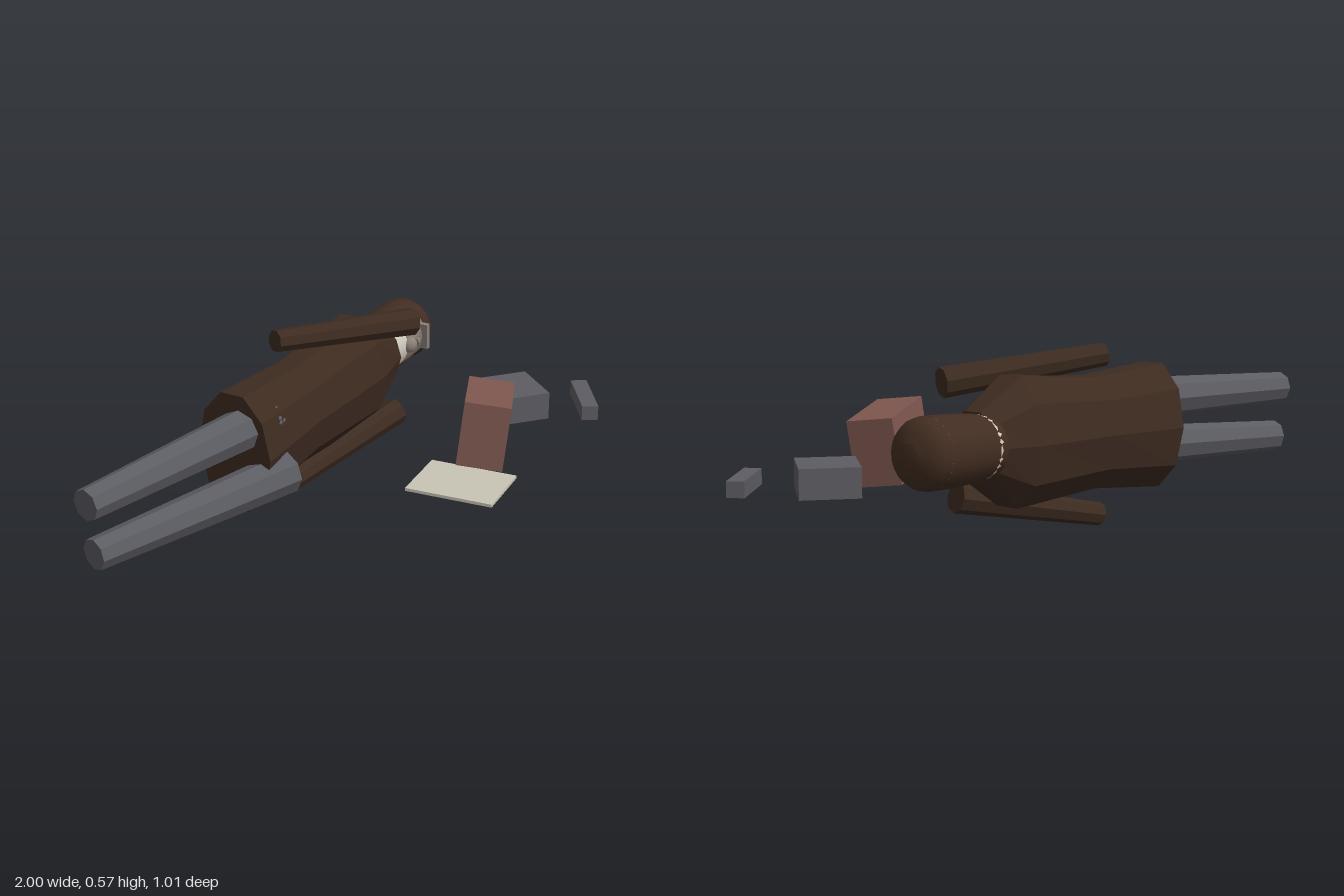
import * as THREE from 'three';

const mat = (name, color, opts = {}) => {
  const m = new THREE.MeshStandardMaterial({ color, ...opts });
  m.name = name;
  return m;
};
const V = (x, y, z) => new THREE.Vector3(x, y, z);

// Closed, flat-shaded loft along y; each row is [height, half width x, half depth z]
function loft(rows, sides) {
  const pos = [], idx = [];
  rows.forEach(([t, rx, rz]) => {
    for (let i = 0; i < sides; i++) {
      const a = ((i + 0.5) / sides) * Math.PI * 2;
      pos.push(rx * Math.cos(a), t, rz * Math.sin(a));
    }
  });
  for (let r = 0; r < rows.length - 1; r++) {
    for (let i = 0; i < sides; i++) {
      const j = (i + 1) % sides, a = r * sides + i, b = r * sides + j;
      idx.push(a, a + sides, b, b, a + sides, b + sides);
    }
  }
  const top = (rows.length - 1) * sides;
  for (let i = 1; i < sides - 1; i++) {
    idx.push(0, i, i + 1, top, top + i + 1, top + i);
  }
  const g = new THREE.BufferGeometry();
  g.setAttribute('position', new THREE.Float32BufferAttribute(pos, 3));
  g.setIndex(idx);
  const flat = g.toNonIndexed();
  flat.computeVertexNormals();
  return flat;
}

export function createModel() {
  const model = new THREE.Group();
  const coat = mat('dark brown cloth', 0x3d2b20, { flatShading: true });
  const hoodMat = mat('brown hood', 0x422d21, { side: THREE.DoubleSide });
  const grey = mat('slate grey', 0x5c5c63, { flatShading: true });
  const clay = mat('red clay', 0x7f5850);
  const paper = mat('parchment', 0xc8c3b4);
  const skin = mat('ashen skin', 0x8c8178);
  const cream = mat('cream cloth', 0xcfcabd, { side: THREE.DoubleSide });

  const add = (parent, name, geo, material, x = 0, y = 0, z = 0) => {
    const m = new THREE.Mesh(geo, material);
    m.name = name;
    m.position.set(x, y, z);
    parent.add(m);
    return m;
  };

  // Tapered eight-sided limb from a to b
  const limb = (name, a, b, ra, rb, material) => {
    const d = b.clone().sub(a);
    const m = add(model, name, new THREE.CylinderGeometry(rb, ra, d.length(), 8), material);
    m.position.copy(a).add(b).multiplyScalar(0.5);
    m.quaternion.setFromUnitVectors(V(0, 1, 0), d.normalize());
  };
  limb('rightLeg', V(-1, 0.352, -0.11), V(-0.25, 0.375, -0.135), 0.05, 0.07, grey);
  limb('leftLeg', V(-0.98, 0.185, -0.11), V(-0.238, 0.21, -0.058), 0.05, 0.069, grey);
  limb('rightArm', V(-0.08, 0.545, -0.265), V(0.455, 0.49, -0.156), 0.036, 0.047, coat);
  limb('leftArm', V(-0.085, 0.041, -0.24), V(0.445, 0.152, -0.212), 0.036, 0.047, coat);

  // Lying body: local y runs from hem to head, local z faces forward
  const body = new THREE.Group();
  body.name = 'body';
  const up = V(0.845, 0.037, -0.178).normalize();
  const side = V(0, 1, 0).cross(up).cross(up).normalize(); // model-vertical, downwards
  const front = side.clone().cross(up);
  body.quaternion.setFromRotationMatrix(new THREE.Matrix4().makeBasis(side, up, front));
  body.position.set(-0.37, 0.288, -0.155);
  model.add(body);

  add(body, 'coat', loft([
    [0, 0.209, 0.132], [0.33, 0.182, 0.116], [0.7, 0.206, 0.13], [0.865, 0.105, 0.097],
  ], 10), coat);
  for (const [x, y] of [[-0.1, 0.1], [-0.085, 0.12]]) {
    add(body, 'coatStud', new THREE.SphereGeometry(0.008, 8, 6), grey, x, y, 0.105);
  }

  // Hood with an opening for the face
  const head = new THREE.Group();
  head.name = 'head';
  head.position.set(0, 0, -0.026);
  body.add(head);
  const lathe = (pts, start = 0, length = Math.PI * 2) =>
    new THREE.LatheGeometry(pts.map(([r, y]) => new THREE.Vector2(r, y)), 24, start, length);
  const gap = 0.75;
  add(head, 'hood', lathe([[0.09, 0.835], [0.1, 0.9], [0.106, 0.99], [0.107, 1.085]],
    gap, Math.PI * 2 - gap * 2), hoodMat);
  add(head, 'hoodCrown', lathe([
    [0.098, 1.075], [0.107, 1.085], [0.103, 1.11], [0.09, 1.132], [0.065, 1.148],
    [0.037, 1.156], [0.034, 1.161], [0, 1.163],
  ]), hoodMat);

  // Face and neck cloth
  add(head, 'neckCloth', lathe([[0.088, 0.835], [0.096, 0.87], [0.098, 0.955]]), cream);
  add(head, 'face', lathe([[0, 0.94], [0.096, 0.945], [0.1, 1.0], [0.098, 1.075], [0, 1.08]]), skin);
  add(head, 'chin', new THREE.SphereGeometry(0.03, 10, 8), skin, 0, 0.972, 0.092);
  add(head, 'nose', new THREE.ConeGeometry(0.017, 0.045, 6), skin, 0, 1.018, 0.104);
  add(head, 'brow', new THREE.BoxGeometry(0.09, 0.018, 0.04), skin, 0, 1.062, 0.098);

  // Scattered goods: centre, size and turn about the vertical
  for (const [name, material, p, s, deg] of [
    ['parchmentSheet', paper, [0.147, 0.16, 0.327], [0.226, 0.01, 0.288], 19],
    ['greyBlock', grey, [0.708, 0.199, 0.078], [0.186, 0.094, 0.2], -27.3],
    ['greyBar', grey, [0.898, 0.182, 0.243], [0.228, 0.05, 0.055], 47],
  ]) {
    add(model, name, new THREE.BoxGeometry(...s), material, ...p).rotation.y =
      THREE.MathUtils.degToRad(deg);
  }

  // Clay crate, leaning slightly
  const crate = add(model, 'clayCrate', new THREE.BoxGeometry(0.287, 0.213, 0.15), clay, 0.385, 0.258, 0.227);
  const ex = V(0.23, -0.03, -0.172).normalize();
  const ez = ex.clone().cross(V(0.025, 0.21, 0.01)).normalize();
  crate.quaternion.setFromRotationMatrix(new THREE.Matrix4().makeBasis(ex, ez.clone().cross(ex), ez));

  return model;
}
